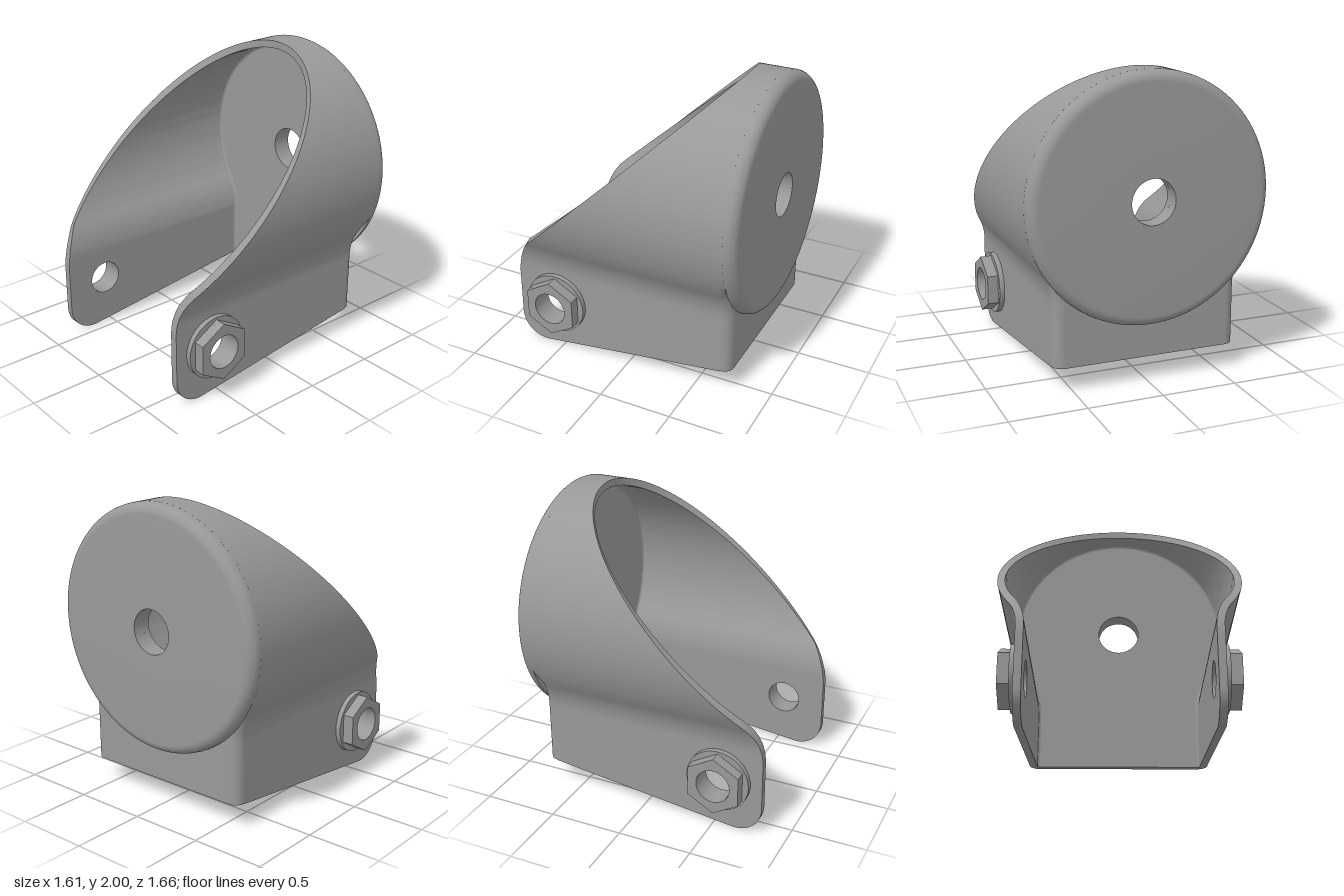
import * as THREE from 'three';
import { toCreasedNormals } from 'three/addons/utils/BufferGeometryUtils.js';

const WALL = 0.05, BACK = -0.75, CORNER = 0.07, LEG_X = 0.625, LEG_TOP = 0.57;
const CY = 1.195, R = 0.805, HOLE = 0.147;      // round head
const FX = 0.995, FR = 0.37, FA = 0.561;        // neck fillet
const BOLT = { z: 0.535, y: 0.345, r: 0.115 };

// z of the sloping front edge at a given height
function frontZ(y) {
  if (y > 0.794) return -0.565 + (2 - y) / 0.949;
  return 0.43 + Math.sqrt(Math.max(0, 0.16 - Math.max(0, y - 0.504) ** 2));
}

// Keyhole outline, from right bottom over the head to left bottom
function keyhole() {
  const half = [
    { x: LEG_X, y: 0.165, nx: 1, ny: 0, front: -0.68 },
    { x: LEG_X, y: LEG_TOP, nx: 1, ny: 0, front: -0.68 },
  ];
  for (let i = 0; i <= 14; i++) {
    const a = Math.PI - FA * i / 14;
    half.push({ x: FX + FR * Math.cos(a), y: LEG_TOP + FR * Math.sin(a), nx: -Math.cos(a), ny: -Math.sin(a) });
  }
  const N = 60;
  for (let i = 1; i <= N; i++) {
    const t = (Math.PI / 2 + FA) * i / N, a = t - FA;
    half.push({ x: R * Math.cos(a), y: CY + R * Math.sin(a), nx: Math.cos(a), ny: Math.sin(a), square: Math.min(1, t / 0.18) });
  }
  const left = half.slice(0, -1).reverse().map(p => ({ ...p, x: -p.x, nx: -p.nx }));
  return [...half, ...left];
}

// Wall swept along the outline, turning inwards at the back
function shellGeometry(path) {
  const S = 8;
  const rings = path.map(p => {
    const front = p.front ?? frontZ(p.y), k = p.square ?? 0;
    const at = (inset, z) => [p.x - p.nx * inset, p.y - p.ny * inset, z];
    const outer = [at(0, front)], inner = [at(WALL, front)];
    for (let i = 0; i <= S; i++) {
      const a = Math.PI / 2 * i / S, c = 1 - Math.cos(a), s = Math.sin(a);
      const sq = [Math.max(0, 2 * i / S - 1), Math.min(1, 2 * i / S)];
      outer.push(at(CORNER * (c + (sq[0] - c) * k), BACK + CORNER - CORNER * (s + (sq[1] - s) * k)));
      inner.push(at(WALL + 0.02 * c, BACK + CORNER - 0.02 * s));
    }
    return [...outer, ...inner.reverse()];
  });
  const pos = [], n = rings[0].length;
  const quad = (a, b, c, d) => pos.push(...a, ...b, ...c, ...a, ...c, ...d);
  for (let i = 0; i < rings.length - 1; i++) {
    const p = rings[i], q = rings[i + 1];
    for (let j = 0; j < n; j++) {
      const m = (j + 1) % n;
      quad(p[j], p[m], q[m], q[j]);
    }
  }
  const first = rings[0], last = rings[rings.length - 1];
  for (let j = 0; j < n / 2 - 1; j++) {
    quad(first[j], first[n - 1 - j], first[n - 2 - j], first[j + 1]);
    quad(last[j], last[j + 1], last[n - 2 - j], last[n - 1 - j]);
  }
  const g = new THREE.BufferGeometry();
  g.setAttribute('position', new THREE.Float32BufferAttribute(pos, 3));
  return g;
}

function circlePath(x, y, r) {
  return new THREE.Path().absarc(x, y, r, 0, Math.PI * 2, true);
}

function extrude(shape, depth) {
  return new THREE.ExtrudeGeometry(shape, { depth, bevelEnabled: false, curveSegments: 32 });
}

// Side outline of the flat leg (shape x runs towards the back)
function legShape() {
  const pts = [new THREE.Vector2(0.68, 0.1615), new THREE.Vector2(0.68, LEG_TOP)];
  for (let i = 0; i <= 4; i++) {
    const y = LEG_TOP + (0.504 - LEG_TOP) * i / 4;
    pts.push(new THREE.Vector2(-frontZ(y), y));
  }
  for (let i = 0; i <= 16; i++) {
    const a = Math.PI + (Math.PI / 2 + 0.12) * i / 16;
    pts.push(new THREE.Vector2(-0.65 + 0.18 * Math.cos(a), 0.18 + 0.18 * Math.sin(a)));
  }
  const s = new THREE.Shape(pts);
  s.holes.push(circlePath(-BOLT.z, BOLT.y, BOLT.r));
  return s;
}

// Washer or hexagonal nut around the bolt hole
function ringShape(radius, sides) {
  const pts = [];
  for (let i = 0; i < sides; i++) {
    const a = Math.PI / 2 + Math.PI * 2 * i / sides;
    pts.push(new THREE.Vector2(-BOLT.z + radius * Math.cos(a), BOLT.y + radius * Math.sin(a)));
  }
  const s = new THREE.Shape(pts);
  s.holes.push(circlePath(-BOLT.z, BOLT.y, BOLT.r));
  return s;
}

export function createModel() {
  const model = new THREE.Group();
  model.name = 'clevisBracket';
  const steel = new THREE.MeshStandardMaterial({ color: 0x999999 });
  steel.name = 'grey steel';
  const add = (name, geometry) => {
    const mesh = new THREE.Mesh(toCreasedNormals(geometry, 0.5), steel);
    mesh.name = name;
    model.add(mesh);
  };

  // Curved wall
  const path = keyhole();
  add('shell', shellGeometry(path));

  // Back plate filling the outline
  const plate = new THREE.Shape(path.map(p => new THREE.Vector2(p.x - p.nx * CORNER, p.y - p.ny * CORNER)));
  plate.holes.push(circlePath(0, CY, HOLE));
  add('backPlate', extrude(plate, WALL).translate(0, 0, BACK));

  // Round boss with a rounded rim on the back
  const rim = [new THREE.Vector2(HOLE, 0.75), new THREE.Vector2(R, 0.75)];
  for (let i = 0; i <= 10; i++) {
    const a = Math.PI / 2 * i / 10;
    rim.push(new THREE.Vector2(R - 0.07 + 0.07 * Math.cos(a), 0.76 + 0.07 * Math.sin(a)));
  }
  rim.push(new THREE.Vector2(HOLE, 0.83), new THREE.Vector2(HOLE, 0.75));
  add('backDisc', new THREE.LatheGeometry(rim, 96).rotateX(-Math.PI / 2).translate(0, CY, 0));

  // Legs with washers and nuts on both sides
  for (const [label, side] of [['left', 1], ['right', -1]]) {
    const slab = (name, shape, x, depth) =>
      add(label + name, extrude(shape, depth).rotateY(Math.PI / 2).translate(side > 0 ? x : -x - depth, 0, 0));
    slab('Leg', legShape(), LEG_X - WALL, WALL);
    slab('Washer', ringShape(0.215, 48), LEG_X, 0.035);
    slab('Nut', ringShape(0.2, 6), LEG_X + 0.035, 0.075);
  }
  return model;
}
